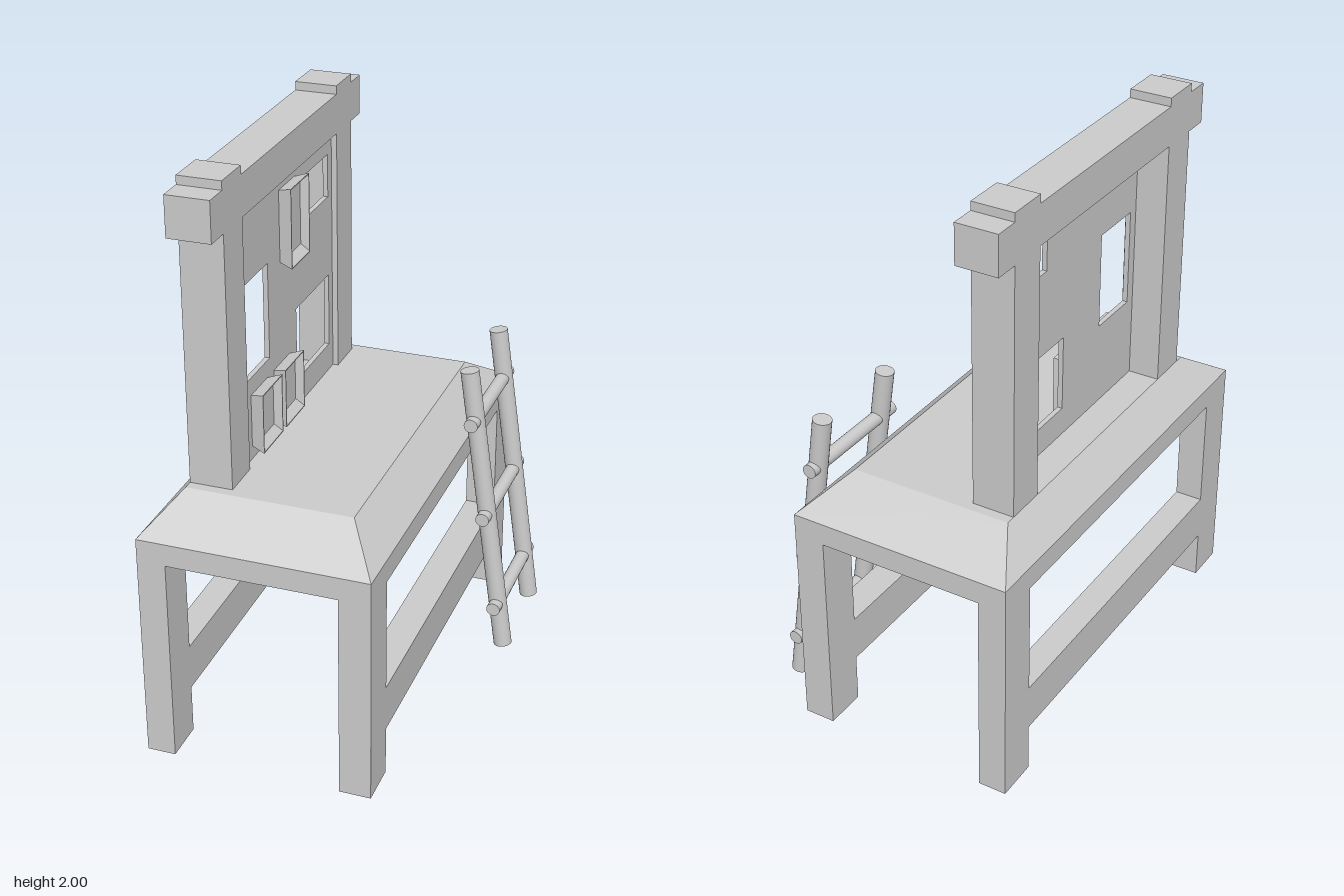
import * as THREE from 'three';

const material = new THREE.MeshStandardMaterial({ color: 0xcccccc, flatShading: true });
const smooth = new THREE.MeshStandardMaterial({ color: 0xcccccc });

function add(group, name, geometry, mat = material) {
  const mesh = new THREE.Mesh(geometry, mat);
  mesh.name = name;
  group.add(mesh);
  return mesh;
}

function box(x0, x1, y0, y1, z0, z1) {
  return new THREE.BoxGeometry(x1 - x0, y1 - y0, z1 - z0)
    .translate((x0 + x1) / 2, (y0 + y1) / 2, (z0 + z1) / 2);
}

// Outline drawn in (z, y) with rectangular holes [z0, z1, y0, y1], extruded from x0 to x1
function slab(outline, holes, x0, x1) {
  const shape = new THREE.Shape(outline.map(([z, y]) => new THREE.Vector2(z, y)));
  for (const [z0, z1, y0, y1] of holes) {
    shape.holes.push(new THREE.Path([[z0, y0], [z0, y1], [z1, y1], [z1, y0]]
      .map(([z, y]) => new THREE.Vector2(z, y))));
  }
  return new THREE.ExtrudeGeometry(shape, { depth: x1 - x0, bevelEnabled: false })
    .rotateY(-Math.PI / 2).translate(x1, 0, 0);
}

// Skin through four-cornered rings, capped at both ends
function skin(rings) {
  const pos = [];
  const quad = (a, b, c, d) => pos.push(...a, ...b, ...c, ...a, ...c, ...d);
  for (let r = 0; r + 1 < rings.length; r++) {
    for (let i = 0; i < 4; i++) {
      const j = (i + 1) % 4;
      quad(rings[r][i], rings[r][j], rings[r + 1][j], rings[r + 1][i]);
    }
  }
  const [a, b, c, d] = rings[0];
  quad(d, c, b, a);
  quad(...rings[rings.length - 1]);
  const geometry = new THREE.BufferGeometry();
  geometry.setAttribute('position', new THREE.Float32BufferAttribute(pos, 3));
  geometry.computeVertexNormals();
  return geometry;
}

function createTable() {
  const table = new THREE.Group();
  table.name = 'table';
  // Long sides: two legs, rail and stretcher in one piece
  const foot = 0.005;
  const side = [
    [-0.78, foot], [-0.63, foot], [-0.63, 0.18], [0.63, 0.18],
    [0.63, foot], [0.78, foot], [0.78, 0.83], [-0.78, 0.83],
  ];
  const opening = [[-0.63, 0.63, 0.345, 0.75]];
  add(table, 'rightLegFrame', slab(side, opening, -0.5, -0.4));
  add(table, 'leftLegFrame', slab(side, opening, 0.19, 0.3));
  add(table, 'tableBase', box(-0.4, 0.19, 0.75, 0.83, -0.78, 0.78));
  // Sloping table top
  const ring = (x0, x1, z, y) => [[x0, y, z], [x1, y, z], [x1, y, -z], [x0, y, -z]];
  add(table, 'slopedTop', skin([ring(-0.5, 0.3, 0.78, 0.83), ring(-0.4, 0.18, 0.6, 0.945)]));
  return table;
}

// Shallow flared tray with a sunken floor, facing +x
function tray(z, y, halfZ, halfY) {
  const ring = (x, inZ, inY) => {
    const a = halfZ - inZ, b = halfY - inY;
    return [[x, y - b, z + a], [x, y - b, z - a], [x, y + b, z - a], [x, y + b, z + a]];
  };
  return skin([
    ring(-0.275, 0.015, 0.015), ring(-0.222, 0, 0),
    ring(-0.222, 0.004, 0.004), ring(-0.25, 0.014, 0.03),
  ]);
}

function createWall() {
  const wall = new THREE.Group();
  wall.name = 'wall';
  // Posts and crossbeam with raised caps, as one portal
  const half = [[0.418, 0.94], [0.565, 0.94], [0.565, 1.83], [0.655, 1.83],
    [0.655, 1.97], [0.565, 1.97], [0.565, 2], [0.418, 2], [0.418, 1.97]];
  const mirrored = half.map(([z, y]) => [-z, y]).reverse();
  const portal = [...half, ...mirrored, [-0.418, 1.83], [0.418, 1.83]];
  add(wall, 'postsAndBeam', slab(portal, [], -0.4, -0.25));
  // Thin panel with three windows
  add(wall, 'windowPanel', slab(
    [[-0.42, 0.94], [0.42, 0.94], [0.42, 1.835], [-0.42, 1.835]],
    [[0.18, 0.38, 1.24, 1.58], [-0.38, -0.18, 1.61, 1.765], [-0.38, -0.065, 1.045, 1.315]],
    -0.288, -0.27));
  // Trays hung on the panel
  add(wall, 'upperTray', tray(0.002, 1.667, 0.083, 0.14));
  add(wall, 'lowerTray', tray(0.275, 1.085, 0.085, 0.107));
  add(wall, 'lowerTray', tray(0.075, 1.085, 0.085, 0.107));
  return wall;
}

function createLadder() {
  const ladder = new THREE.Group();
  ladder.name = 'ladder';
  const bottom = new THREE.Vector2(0.458, 0.006), top = new THREE.Vector2(0.303, 1.096);
  const lean = top.clone().sub(bottom);
  const middle = bottom.clone().add(top).multiplyScalar(0.5);
  for (const z of [-0.238, -0.598]) {
    const rail = add(ladder, 'ladderRail', new THREE.CylinderGeometry(0.033, 0.033, lean.length(), 24), smooth);
    rail.rotation.z = Math.atan2(-lean.x, lean.y);
    rail.position.set(middle.x, middle.y, z);
  }
  for (const y of [0.18, 0.545, 0.912]) {
    const rung = add(ladder, 'ladderRung', new THREE.CylinderGeometry(0.025, 0.025, 0.475, 20), smooth);
    rung.rotation.x = Math.PI / 2;
    rung.position.set(bottom.x + lean.x * (y - bottom.y) / lean.y, y, -0.4125);
  }
  return ladder;
}

export function createModel() {
  const model = new THREE.Group();
  model.name = 'tableWithWallAndLadder';
  model.add(createTable(), createWall(), createLadder());
  return model;
}
